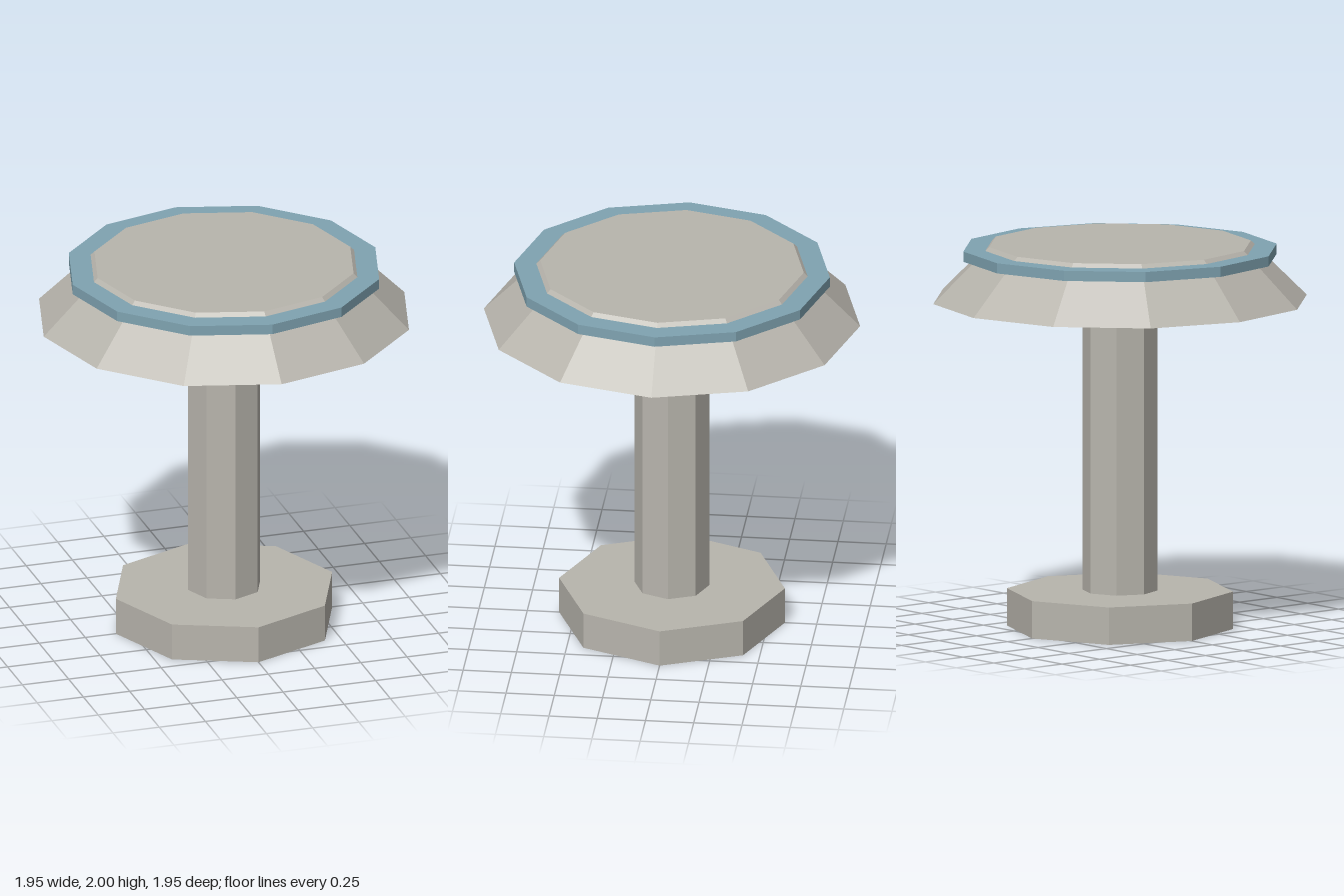
import * as THREE from 'three';

export function createModel() {
  const group = new THREE.Group();

  const stone = new THREE.MeshStandardMaterial({ color: 0xb8b5ad, flatShading: true });
  stone.name = 'warm grey';
  const blue = new THREE.MeshStandardMaterial({ color: 0x7fa3b1, flatShading: true });
  blue.name = 'dusty blue';

  // Faceted drum between two heights
  function drum(name, rTop, rBottom, y0, y1, sides, material) {
    const mesh = new THREE.Mesh(new THREE.CylinderGeometry(rTop, rBottom, y1 - y0, sides), material);
    mesh.position.y = (y0 + y1) / 2;
    mesh.name = name;
    group.add(mesh);
  }

  // Octagonal foot and column
  drum('base', 0.585, 0.585, 0, 0.195, 8, stone);
  drum('column', 0.195, 0.195, 0.195, 1.71, 8, stone);

  // Twelve-sided tapering cap with a band that it pokes through
  drum('cap', 0.683, 0.975, 1.71, 2, 12, stone);
  drum('capBand', 0.818, 0.818, 1.927, 1.98, 12, blue);

  return group;
}
